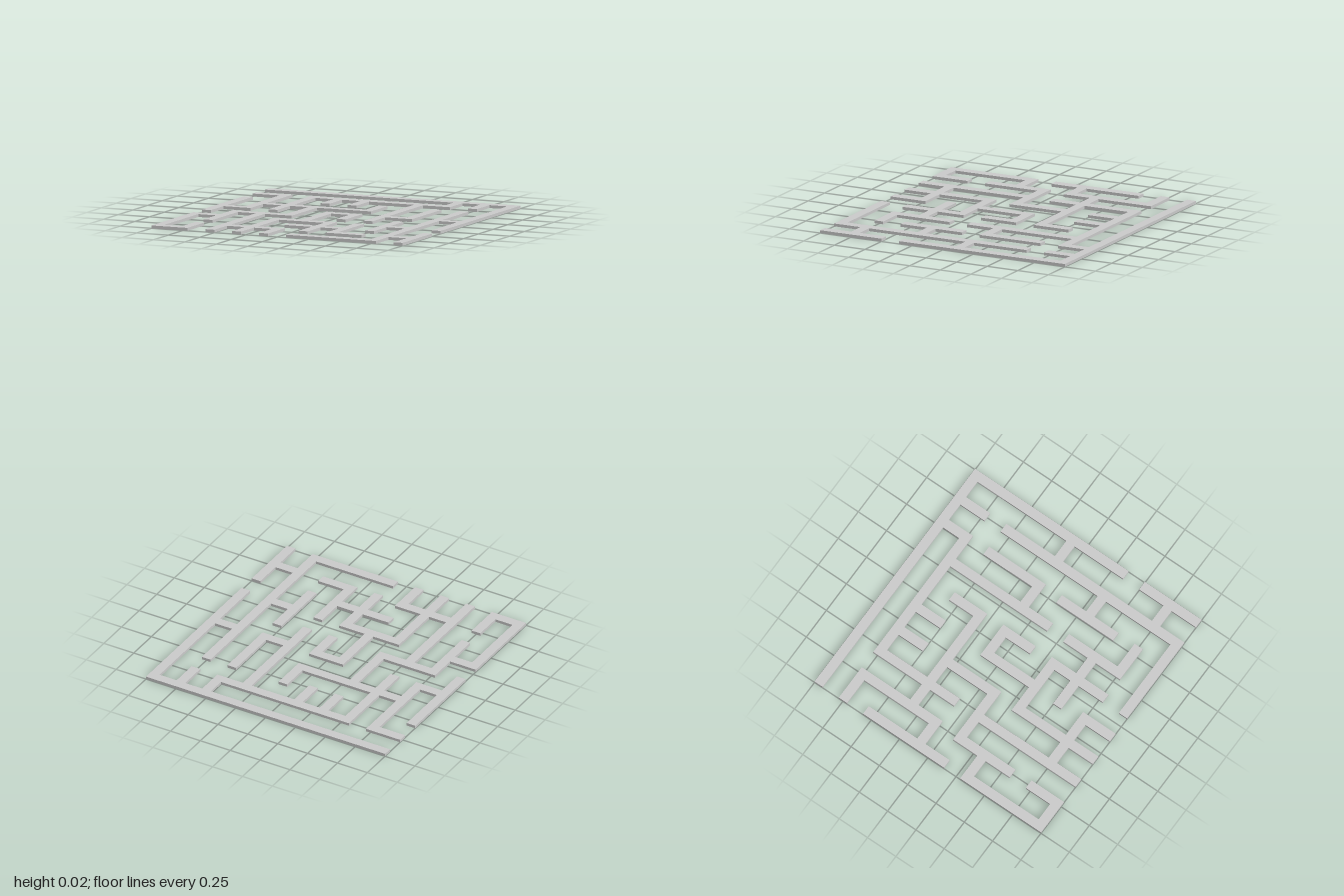
import * as THREE from 'three';

const UNIT = 1 / 14;   // wall thickness
const PITCH = 3;       // wall spacing, in thicknesses
const SIZE = 28;       // maze side, in thicknesses
const HEIGHT = 0.021;

// Walls along x, one list per row: [first column, last column]
const ROWS = [
  [[0, 9]],
  [[0, 1], [2, 7]],
  [],
  [[1, 5]],
  [[0, 1], [4, 5], [6, 7], [8, 9]],
  [[1, 3]],
  [[0, 1], [3, 5], [7, 8]],
  [[4, 6]],
  [[2, 4], [6, 7], [8, 9]],
  [[0, 1], [5, 8]],
];

// Walls along z, one list per column: [first row, last row]
const COLUMNS = [
  [[2, 5], [6, 9]],
  [[1, 4], [5, 7], [8, 9]],
  [[1, 4], [5, 9]],
  [[1, 2], [3, 5], [6, 9]],
  [[1, 2], [4, 6], [8, 9]],
  [[2, 3], [4, 5], [6, 8]],
  [[1, 5], [6, 8]],
  [[0, 1], [2, 4], [5, 7]],
  [[0, 1], [2, 9]],
  [[0, 6], [7, 9]],
];

// Mark every square covered by a wall
function wallSquares() {
  const filled = new Set();
  const mark = (lists, key) => lists.forEach((list, line) => {
    for (const [a, b] of list)
      for (let t = a * PITCH; t <= b * PITCH; t++) filled.add(key(t, line * PITCH));
  });
  mark(ROWS, (t, n) => `${t},${n}`);
  mark(COLUMNS, (t, n) => `${n},${t}`);
  return filled;
}

// Follow the border of the squares; each closed loop is one connected wall
function traceOutlines(filled) {
  const next = new Map();
  const has = (i, j) => filled.has(`${i},${j}`);
  for (const square of filled) {
    const [i, j] = square.split(',').map(Number);
    const edge = (a, b, c, d) => next.set(`${a},${b}`, [c, d]);
    if (!has(i, j - 1)) edge(i, j, i + 1, j);
    if (!has(i + 1, j)) edge(i + 1, j, i + 1, j + 1);
    if (!has(i, j + 1)) edge(i + 1, j + 1, i, j + 1);
    if (!has(i - 1, j)) edge(i, j + 1, i, j);
  }
  const loops = [];
  while (next.size) {
    const loop = [];
    let key = next.keys().next().value;
    while (next.has(key)) {
      const p = next.get(key);
      next.delete(key);
      loop.push(p);
      key = `${p[0]},${p[1]}`;
    }
    // Keep only the corners
    loops.push(loop.filter((p, k) => {
      const a = loop[(k + loop.length - 1) % loop.length];
      const b = loop[(k + 1) % loop.length];
      return a[0] !== b[0] && a[1] !== b[1];
    }));
  }
  return loops;
}

export function createModel() {
  const maze = new THREE.Group();
  maze.name = 'maze';
  const material = new THREE.MeshStandardMaterial({ color: 0xcccccc });

  // Raise each wall outline into a flat-topped slab
  traceOutlines(wallSquares()).forEach((loop, k) => {
    const corners = loop.map(([i, j]) =>
      new THREE.Vector2((i - SIZE / 2) * UNIT, (SIZE / 2 - j) * UNIT));
    const geometry = new THREE.ExtrudeGeometry(new THREE.Shape(corners), {
      depth: HEIGHT, bevelEnabled: false,
    });
    geometry.rotateX(-Math.PI / 2);
    const wall = new THREE.Mesh(geometry, material);
    wall.name = `mazeWall${k + 1}`;
    maze.add(wall);
  });
  return maze;
}
